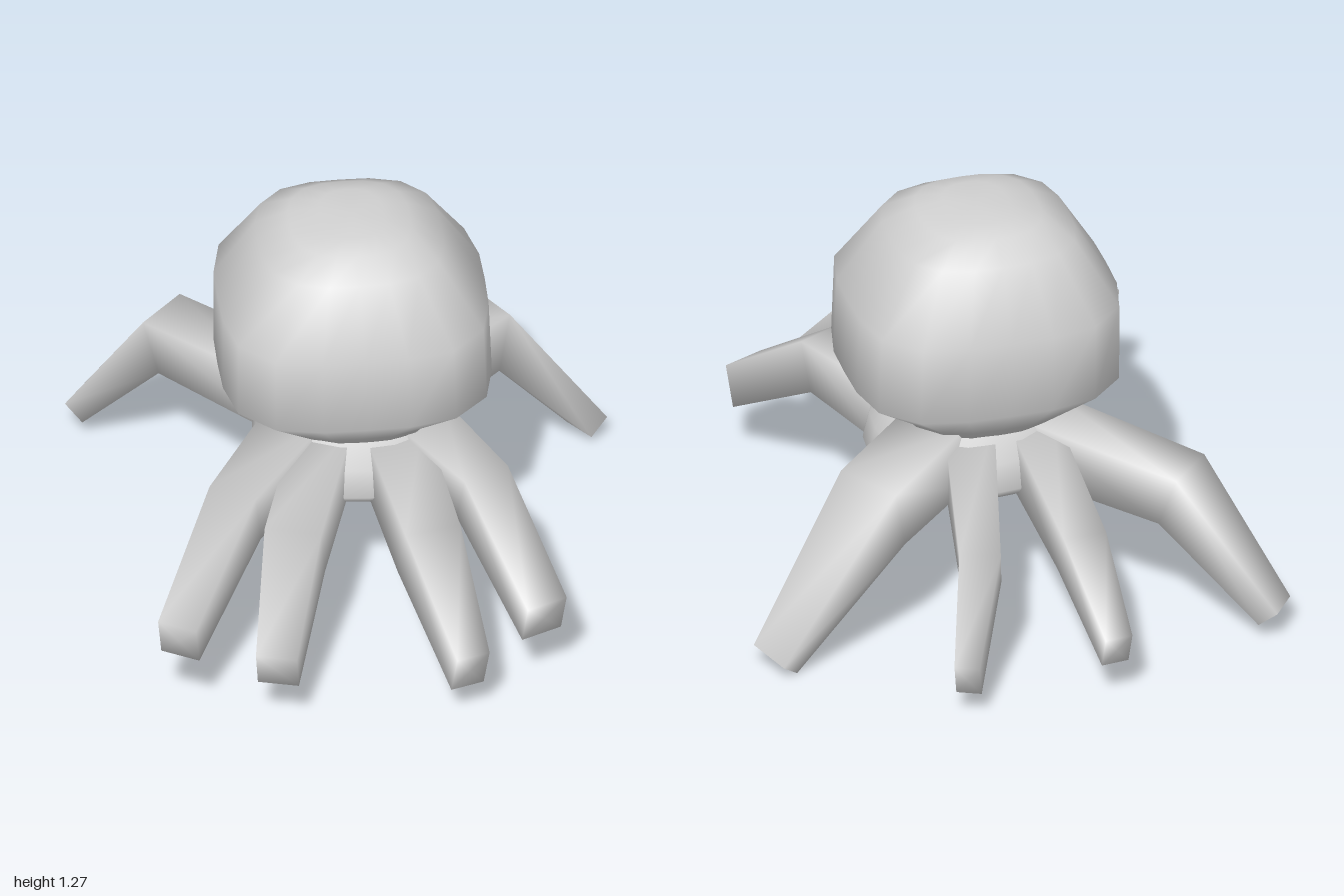
import * as THREE from 'three';

const skin = new THREE.MeshStandardMaterial({ color: 0xd2d2d2 });
skin.name = 'grey skin';

// Smooth closed skin through rings of equal point count
function loft(rings) {
  const n = rings[0].length, pos = [], index = [];
  const add = p => pos.push(p.x, p.y, p.z) / 3 - 1;
  rings.forEach(r => r.forEach(add));
  const last = (rings.length - 1) * n;
  const middle = ring => add(ring.reduce((s, p) => s.add(p), new THREE.Vector3()).divideScalar(n));
  const start = middle(rings[0]), end = middle(rings[rings.length - 1]);
  for (let i = 0; i < n; i++) {
    const j = (i + 1) % n;
    for (let k = 0; k < last; k += n) {
      index.push(k + i, k + j, k + j + n, k + i, k + j + n, k + i + n);
    }
    index.push(start, j, i, end, last + i, last + j);
  }
  const g = new THREE.BufferGeometry();
  g.setAttribute('position', new THREE.Float32BufferAttribute(pos, 3));
  g.setIndex(index);
  g.computeVertexNormals();
  return g;
}

// Horizontal rounded-square ring
function squareRing([y, cx, rx, rz, power]) {
  return Array.from({ length: 20 }, (_, i) => {
    const t = -i / 20 * Math.PI * 2, c = Math.cos(t), s = Math.sin(t);
    const r = Math.pow(Math.abs(c) ** power + Math.abs(s) ** power, -1 / power);
    return new THREE.Vector3(cx + rx * r * c, y, rz * r * s);
  });
}

// Four-sided arm through stations [x, y, z, width, height, slope kept by the cut, roll]
function armGeometry(stations) {
  const pts = stations.map(s => new THREE.Vector3(s[0], s[1], s[2]));
  const rings = stations.map(([, , , w, h, slope = 1, roll = 0], k) => {
    const dir = new THREE.Vector3();
    if (k > 0) dir.add(pts[k].clone().sub(pts[k - 1]).normalize());
    if (k < pts.length - 1) dir.add(pts[k + 1].clone().sub(pts[k]).normalize());
    dir.y *= slope;
    dir.normalize();
    const side = new THREE.Vector3(0, 1, 0).cross(dir).normalize().applyAxisAngle(dir, roll);
    const up = dir.clone().cross(side);
    return [[-1, -1], [1, -1], [1, 1], [-1, 1]].map(([a, b]) =>
      pts[k].clone().addScaledVector(side, a * w / 2).addScaledVector(up, b * h / 2));
  });
  return loft(rings);
}

export function createModel() {
  const group = new THREE.Group();
  const add = (name, geometry) => {
    const mesh = new THREE.Mesh(geometry, skin);
    mesh.name = name;
    group.add(mesh);
  };

  // Head: y, centre x, half width, half depth, squareness
  add('head', loft([
    [0.58, 0, 0.24, 0.26, 2.5],
    [0.63, -0.02, 0.29, 0.30, 2.8],
    [0.74, -0.015, 0.425, 0.405, 3.4],
    [1.0, -0.02, 0.42, 0.405, 3.4],
    [1.21, -0.025, 0.29, 0.285, 3],
    [1.265, -0.025, 0.19, 0.2, 2.8],
    [1.285, -0.02, 0.1, 0.13, 2.6],
  ].map(squareRing)));

  // Hub joining the arms under the head
  add('hub', loft([
    [0.395, 0, 0.3, 0.31, 2.3],
    [0.43, 0, 0.33, 0.34, 2.3],
    [0.52, 0, 0.31, 0.32, 2.3],
    [0.64, 0, 0.24, 0.25, 2.3],
  ].map(squareRing)));

  // Arms: root, knee, tip
  const arms = {
    frontArmOuterRight: [[-0.2, 0.5, 0.1, 0.2, 0.2], [-0.44, 0.52, 0.49, 0.16, 0.18], [-0.66, 0.31, 0.86, 0.13, 0.13, 0.4]],
    frontArmInnerRight: [[-0.12, 0.49, 0.15, 0.18, 0.2], [-0.27, 0.47, 0.64, 0.18, 0.2], [-0.36, 0.235, 0.95, 0.13, 0.13, 0.4]],
    frontArmInnerLeft: [[0.09, 0.49, 0.15, 0.2, 0.2], [0.15, 0.455, 0.66, 0.18, 0.21], [0.245, 0.195, 0.965, 0.11, 0.15, 0.4]],
    frontArmOuterLeft: [[0.17, 0.5, 0.12, 0.2, 0.2], [0.34, 0.515, 0.46, 0.16, 0.17], [0.495, 0.265, 0.81, 0.14, 0.14, 0.4]],
    backArmOuterLeft: [[0.15, 0.51, -0.15, 0.22, 0.22], [0.44, 0.5, -0.43, 0.23, 0.2, 0.4], [0.78, 0.05, -0.51, 0.14, 0.08, 1, -0.3]],
    backArmInnerLeft: [[0.05, 0.5, -0.15, 0.16, 0.2], [0.175, 0.4, -0.72, 0.13, 0.15], [0.285, 0.15, -0.965, 0.08, 0.12, 0.4]],
    backArmInnerRight: [[-0.14, 0.5, -0.15, 0.16, 0.2], [-0.16, 0.4, -0.7, 0.14, 0.15], [-0.195, 0.19, -0.98, 0.09, 0.11, 0.4]],
    backArmOuterRight: [[-0.16, 0.5, -0.12, 0.2, 0.2], [-0.53, 0.47, -0.54, 0.19, 0.18, 0.7], [-0.78, 0.09, -0.72, 0.12, 0.08]],
  };
  for (const [name, stations] of Object.entries(arms)) add(name, armGeometry(stations));

  return group;
}
